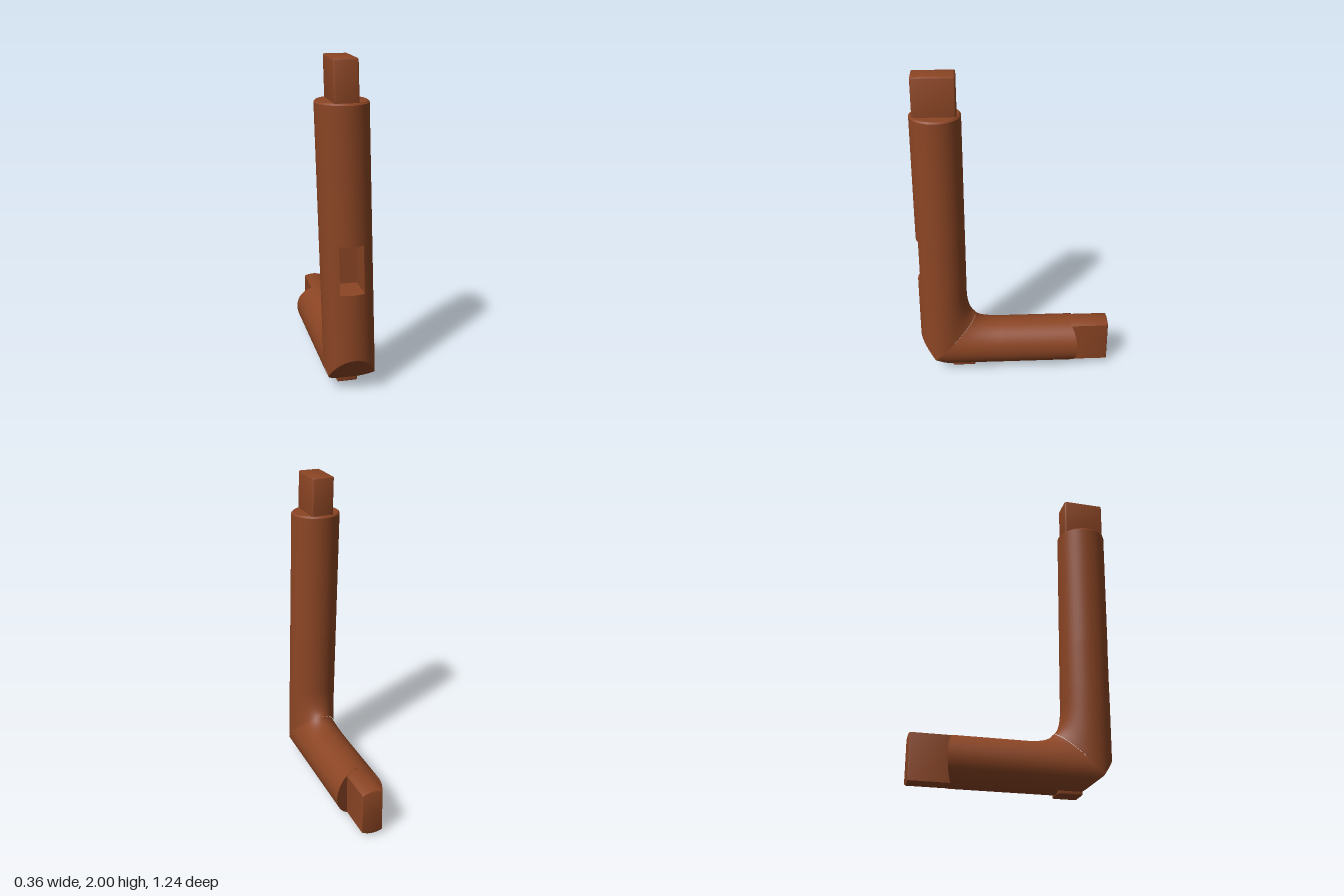
import * as THREE from 'three';
import { toCreasedNormals } from 'three/addons/utils/BufferGeometryUtils.js';
import { RoundedBoxGeometry } from 'three/addons/geometries/RoundedBoxGeometry.js';

const R = 0.155;               // post radius
const N = 48;                  // sides of a post
const CUT = 9;                 // ring index where the outer corner is cut off
const CUT_O = R * Math.cos((2 * Math.PI * CUT) / N);

// Mitred post along +y; outside of the elbow is +z, inside (filleted) is -z.
// top(x) gives the height of the far end.
function mitredPost(top) {
  const pos = [], index = [], rows = 9;
  const foot = (o) => (o < CUT_O ? -o : -CUT_O + (o - CUT_O) * 1.4);
  for (let j = 0; j <= rows; j++) {
    const t = Math.min(1, j / (rows - 1));
    for (let i = 0; i < N; i++) {
      const a = (2 * Math.PI * i) / N, u = Math.cos(a), x = R * Math.sin(a);
      const o = R * u - 0.055 * (1 - t) ** 2 * Math.max(0, -u) ** 2;
      const s = j === rows ? top(x) : THREE.MathUtils.lerp(foot(o), 0.38, t);
      pos.push(x, s, o);
    }
  }
  const id = (i, j) => j * N + ((i + 2 * N) % N);
  const quad = (a, b, c, d) => index.push(a, b, c, a, c, d);
  for (let j = 0; j < rows; j++)
    for (let i = 0; i < N; i++) quad(id(i, j), id(i + 1, j), id(i + 1, j + 1), id(i, j + 1));
  // flat facet on the cut corner
  const mid = pos.length / 3;
  pos.push(0, -CUT_O, CUT_O);
  for (let i = -CUT; i < CUT; i++) index.push(mid, id(i + 1, 0), id(i, 0));
  // far end, strips across the ring
  for (let i = -N / 4; i < N / 4; i++)
    quad(id(i, rows), id(i + 1, rows), id(N / 2 - i - 1, rows), id(N / 2 - i, rows));
  const g = new THREE.BufferGeometry();
  g.setAttribute('position', new THREE.Float32BufferAttribute(pos, 3));
  g.setIndex(index);
  return g;
}

// Extrudes a shape upward from y0 to y1; shape -y becomes +z.
function extrudeUp(shape, y0, y1, bevel = 0) {
  const g = new THREE.ExtrudeGeometry(shape, {
    depth: y1 - y0 - bevel, curveSegments: N, bevelEnabled: bevel > 0,
    bevelSize: bevel, bevelThickness: bevel, bevelOffset: -bevel, bevelSegments: 2,
  });
  return g.rotateX(-Math.PI / 2).translate(0, y0, 0);
}

export function createModel() {
  const model = new THREE.Group();
  model.name = 'jointedCornerPost';
  const wood = new THREE.MeshStandardMaterial({ color: 0x8b4524 });
  wood.name = 'brown wood';

  const add = (parent, name, geometry) => {
    const mesh = new THREE.Mesh(toCreasedNormals(geometry, 0.5), wood);
    mesh.name = name;
    parent.add(mesh);
  };

  // Upright post, leaning slightly to the side
  const upright = new THREE.Group();
  upright.name = 'uprightPost';
  upright.position.set(0.025, 0.165, 0.465);
  model.add(upright);
  const lean = new THREE.Matrix4().makeShear(0, 0, -0.0345, 0, 0, 0);
  const addUpright = (name, g) => add(upright, name, g.applyMatrix4(lean));

  const slot0 = 0.49, slot1 = 0.785, shoulder = 1.595;
  addUpright('uprightFoot', mitredPost(() => slot0));

  // section with the blind mortise in its front
  const w = 0.073, phi = Math.asin(w / R);
  const notched = new THREE.Shape();
  notched.absarc(0, 0, R, -Math.PI / 2 + phi, (3 * Math.PI) / 2 - phi, false);
  notched.lineTo(-w, 0.04);
  notched.lineTo(w, 0.04);
  notched.closePath();
  addUpright('mortiseSection', extrudeUp(notched, slot0, slot1));

  const profile = [[0, slot1], [R, slot1], [R, shoulder - 0.01], [R - 0.01, shoulder], [0, shoulder]];
  addUpright('uprightShaft', new THREE.LatheGeometry(profile.map((p) => new THREE.Vector2(...p)), N));

  addUpright('uprightTenon',
    new RoundedBoxGeometry(0.142, 0.3, 0.26, 2, 0.01).translate(0, 1.685, 0.002));

  // Level rail running backward from the elbow
  const rail = new THREE.Group();
  rail.name = 'rail';
  rail.position.copy(upright.position);
  rail.rotation.set(-Math.PI / 2, Math.PI, 0);
  model.add(rail);
  add(rail, 'railShaft', mitredPost((x) => 0.815 + 0.39 * Math.abs(x)));

  // tenon with flat cheeks and rounded top and bottom
  const c = -0.008, h = 0.068;
  const angle = (x) => Math.acos(x / R);
  const cheek = new THREE.Shape();
  cheek.absarc(0, 0, R - 0.002, angle(c + h), angle(c - h), false);
  cheek.absarc(0, 0, R - 0.002, -angle(c - h), -angle(c + h), false);
  cheek.closePath();
  add(rail, 'railTenon', extrudeUp(cheek, 0.75, 1.085, 0.008));

  // Peg end showing under the rail
  add(model, 'bottomPeg',
    new RoundedBoxGeometry(0.125, 0.08, 0.15, 2, 0.008).translate(0.028, 0.04, 0.34));

  return model;
}
